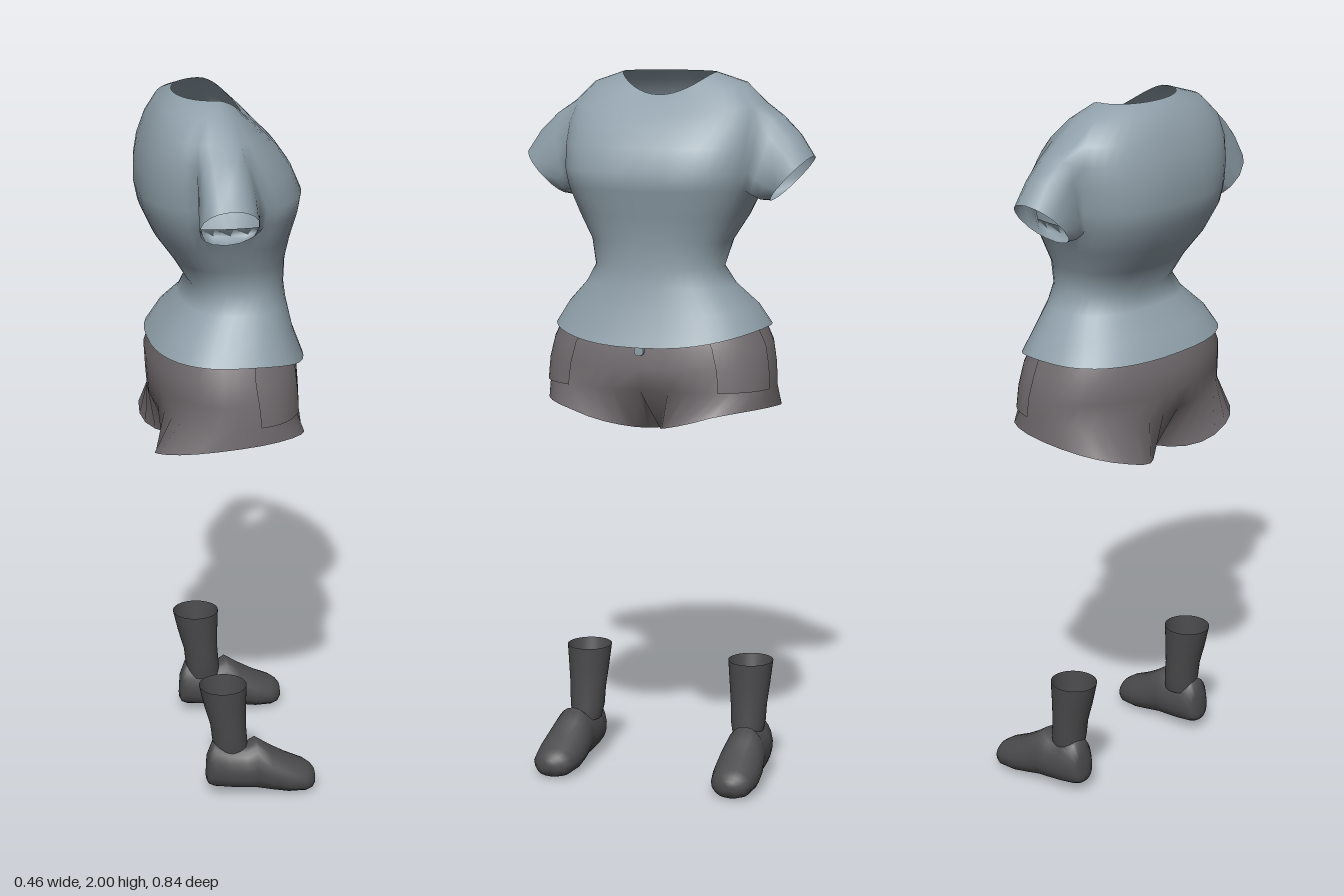
import * as THREE from 'three';

const COLS = 40;
const mat = (name, color) =>
  Object.assign(new THREE.MeshStandardMaterial({ color, side: THREE.DoubleSide }), { name });

// Collects points and quad strips into one smooth surface
class Surface {
  constructor() { this.pos = []; this.idx = []; }
  add(p) { this.pos.push(...p); return this.pos.length / 3 - 1; }
  quad(a, b, c, d) { this.idx.push(a, b, d, b, c, d); }
  strip(low, high, closed = true) {
    const n = low.length;
    for (let i = 0; i < (closed ? n : n - 1); i++) {
      const j = (i + 1) % n;
      this.quad(low[i], high[i], high[j], low[j]);
    }
  }
  mesh(name, material) {
    const g = new THREE.BufferGeometry();
    g.setAttribute('position', new THREE.Float32BufferAttribute(this.pos, 3));
    g.setIndex(this.idx);
    g.computeVertexNormals();
    const m = new THREE.Mesh(g, material);
    m.name = name;
    return m;
  }
}

const spow = (v, p) => Math.sign(v) * Math.abs(v) ** (2 / p);

// Point on a body ring: [y, backX, frontX, halfWidth, frontDrop, frontRoundness, backRoundness]
function ringPoint([y, xb, xf, hw, drop, pf, pb = pf], a, grow = 0) {
  const c = Math.cos(a), s = Math.sin(a), p = c > 0 ? pf : pb;
  return [
    (xb + xf) / 2 + ((xf - xb) / 2 + grow) * spow(c, p),
    y - drop * Math.max(0, c) ** 2,
    (hw + grow) * spow(s, p),
  ];
}
const ring = (s, spec) =>
  Array.from({ length: COLS }, (_, i) => s.add(ringPoint(spec, (i / COLS) * Math.PI * 2)));

const SHIRT = [
  [1.305, -0.205, 0.225, 0.305, 0.045, 2.4],
  [1.36, -0.17, 0.195, 0.27, 0.02, 2.4],
  [1.42, -0.115, 0.178, 0.212, 0, 2.3],
  [1.47, -0.092, 0.172, 0.182, 0, 2.3],
  [1.54, -0.135, 0.174, 0.197, 0, 2.4],
  [1.61, -0.185, 0.186, 0.236, 0, 2.5],
  [1.685, -0.22, 0.205, 0.268, 0, 2.6],
  [1.735, -0.23, 0.213, 0.278, 0, 2.6],
  [1.80, -0.23, 0.185, 0.287, 0, 2.5],
  [1.86, -0.22, 0.15, 0.288, 0.01, 2.4],
  [1.915, -0.2, 0.115, 0.275, 0.03, 2.3],
  [1.97, -0.172, 0.08, 0.22, 0.05, 2.1],
  [1.998, -0.13, 0.055, 0.135, 0.06, 2],
];

// Shirt body with an armhole left open on each side, and sleeves grown from it
function buildShirt(material) {
  const s = new Surface();
  const rows = SHIRT.map((spec) => ring(s, spec));
  const sides = [10, 30], r0 = 6, r1 = 10, half = 2;
  for (let r = 0; r < rows.length - 1; r++)
    for (let c = 0; c < COLS; c++) {
      const open = r >= r0 && r < r1 && sides.some((m) => c >= m - half && c < m + half);
      const d = (c + 1) % COLS;
      if (!open) s.quad(rows[r][c], rows[r + 1][c], rows[r + 1][d], rows[r][d]);
    }
  sides.forEach((mid, k) => {
    const side = k ? -1 : 1;
    const edge = [];
    for (let c = half; c > -half; c--) edge.push([c, r1]);
    for (let r = r1; r > r0; r--) edge.push([-half, r]);
    for (let c = -half; c < half; c++) edge.push([c, r0]);
    for (let r = r0; r < r1; r++) edge.push([half, r]);
    let prev = edge.map(([c, r]) => rows[r][mid + c]);
    const start = prev.map((i) => s.pos.slice(i * 3, i * 3 + 3));
    for (const t of [0.3, 0.65, 1]) {
      const loop = edge.map(([c, r], i) => {
        const phi = Math.atan2((r - 8) / 2, c / 2);
        const up = Math.sin(phi);
        const cuff = [-0.033 - side * 0.08 * Math.cos(phi), 1.713 + 0.063 * up, side * (0.36 + 0.06 * up)];
        const bulge = Math.sin(t * Math.PI) * 0.012 * up;
        return s.add(cuff.map((v, n) =>
          start[i][n] + (v - start[i][n]) * t + (n === 1 ? bulge : n === 2 ? side * bulge : 0)));
      });
      s.strip(prev, loop);
      prev = loop;
    }
  });
  return s.mesh('shirt', material);
}

const SHORTS = [
  [1.14, -0.2, 0.207, 0.325, 0, 2.7, 2.1],
  [1.2, -0.205, 0.205, 0.322, 0, 2.6, 2.1],
  [1.26, -0.208, 0.203, 0.31, 0, 2.4, 2.2],
  [1.32, -0.185, 0.19, 0.282, 0.04, 2.4],
];

// Hips that split along a crotch seam into two open legs
function buildShorts(material) {
  const s = new Surface();
  const rows = SHORTS.map((spec) => ring(s, spec));
  for (let r = 0; r < rows.length - 1; r++) s.strip(rows[r], rows[r + 1]);
  const seam = Array.from({ length: 9 }, (_, k) => {
    const a = Math.PI * (1 - (k + 1) / 10);
    return s.add([0.19 * Math.cos(a), 1.14 - 0.108 * Math.sin(a) ** 4, 0]);
  });
  for (const side of [1, -1]) {
    const from = side > 0 ? 0 : 20;
    const top = Array.from({ length: 21 }, (_, i) => rows[0][(from + i) % COLS]);
    top.push(...(side > 0 ? seam : [...seam].reverse()));
    const hem = top.map((_, i) => {
      const deg = (side > 0 ? -66 : 114) + (i <= 20 ? i * 15.6 : 312 + (i - 20) * 4.8);
      const t = THREE.MathUtils.degToRad(deg), out = side * Math.sin(t);
      return s.add([
        0.207 * spow(Math.cos(t), 2.2),
        1.043 + 0.04 * spow(out, 2.6) + 0.02 * Math.cos(t),
        side * (0.167 + 0.162 * spow(out, 2.2)),
      ]);
    });
    s.strip(hem, top);
  }
  return s.mesh('shorts', material);
}

// Thin cloth panel that follows the shorts between two angles
function buildPanel(name, deg0, deg1, material) {
  const s = new Surface();
  const rows = SHORTS.map((spec) =>
    Array.from({ length: 9 }, (_, i) =>
      s.add(ringPoint(spec, THREE.MathUtils.degToRad(deg0 + ((deg1 - deg0) * i) / 8), 0.006))));
  for (let r = 0; r < rows.length - 1; r++) s.strip(rows[r], rows[r + 1], false);
  return s.mesh(name, material);
}

// Shoe sections from heel to toe: [x, bottom, top, halfWidth]
const SHOE = [
  [-0.081, 0.04, 0.065, 0.015], [-0.076, 0.03, 0.12, 0.036], [-0.06, 0.024, 0.16, 0.05],
  [-0.02, 0.02, 0.15, 0.056], [0.03, 0.016, 0.145, 0.058], [0.06, 0.013, 0.163, 0.06],
  [0.1, 0.008, 0.135, 0.066], [0.15, 0.001, 0.105, 0.068], [0.2, 0, 0.082, 0.06],
  [0.22, 0.004, 0.068, 0.045], [0.23, 0.014, 0.055, 0.026], [0.233, 0.026, 0.042, 0.008],
];
// Ankle rings: [y, backX, frontX, halfWidth]
const ANKLE = [
  [0.12, -0.055, 0.04, 0.042], [0.16, -0.062, 0.038, 0.05], [0.21, -0.068, 0.034, 0.052],
  [0.27, -0.085, 0.034, 0.058], [0.335, -0.1, 0.036, 0.064],
];

function buildFoot(side, material) {
  const foot = new THREE.Group();
  foot.name = side > 0 ? 'leftFoot' : 'rightFoot';

  const shoe = new Surface();
  const centre = (x) => side * (0.26 + 0.045 * x);
  const loops = SHOE.map(([x, lo, hi, hw]) =>
    Array.from({ length: 20 }, (_, i) => {
      const a = (i / 20) * Math.PI * 2, c = Math.cos(a), u = Math.sin(a);
      const narrow = 1 - 0.25 * Math.max(0, u);
      return shoe.add([x, (lo + hi) / 2 + ((hi - lo) / 2) * spow(u, 2.5),
        centre(x) + hw * narrow * spow(c, 2.5)]);
    }));
  for (let i = 0; i < loops.length - 1; i++) shoe.strip(loops[i], loops[i + 1]);
  // Close the heel and toe
  [loops[0], loops[loops.length - 1]].forEach((l, end) => {
    const [x, lo, hi] = SHOE[end ? SHOE.length - 1 : 0];
    const mid = shoe.add([x, (lo + hi) / 2, centre(x)]);
    l.forEach((v, i) => {
      const w = l[(i + 1) % l.length];
      shoe.idx.push(mid, end ? w : v, end ? v : w);
    });
  });
  foot.add(shoe.mesh('shoe', material));

  const ankle = new Surface();
  const rings = ANKLE.map(([y, xb, xf, hw]) => ring(ankle, [y, xb, xf, hw, 0, 2]));
  for (let i = 0; i < rings.length - 1; i++) ankle.strip(rings[i], rings[i + 1]);
  const tube = ankle.mesh('ankleCuff', material);
  tube.position.z = side * 0.248;
  foot.add(tube);
  return foot;
}

export function createModel() {
  const shirtBlue = mat('shirtBlueGrey', 0x8f9fa9);
  const shortsGrey = mat('shortsGrey', 0x726c6f);
  const shoeGrey = mat('shoeDarkGrey', 0x4b4b4d);
  const model = new THREE.Group();
  model.name = 'outfit';
  model.add(buildShirt(shirtBlue), buildShorts(shortsGrey));

  // Hip pockets and feet
  model.add(buildPanel('leftPocket', 35, 80, shortsGrey));
  model.add(buildPanel('rightPocket', -80, -35, shortsGrey));
  model.add(buildFoot(1, shoeGrey), buildFoot(-1, shoeGrey));

  // Waist button
  const button = new THREE.Mesh(new THREE.CylinderGeometry(0.014, 0.014, 0.012, 16), shirtBlue);
  button.name = 'waistButton';
  button.rotation.z = Math.PI / 2;
  button.position.set(0.208, 1.25, 0);
  model.add(button);
  return model;
}
